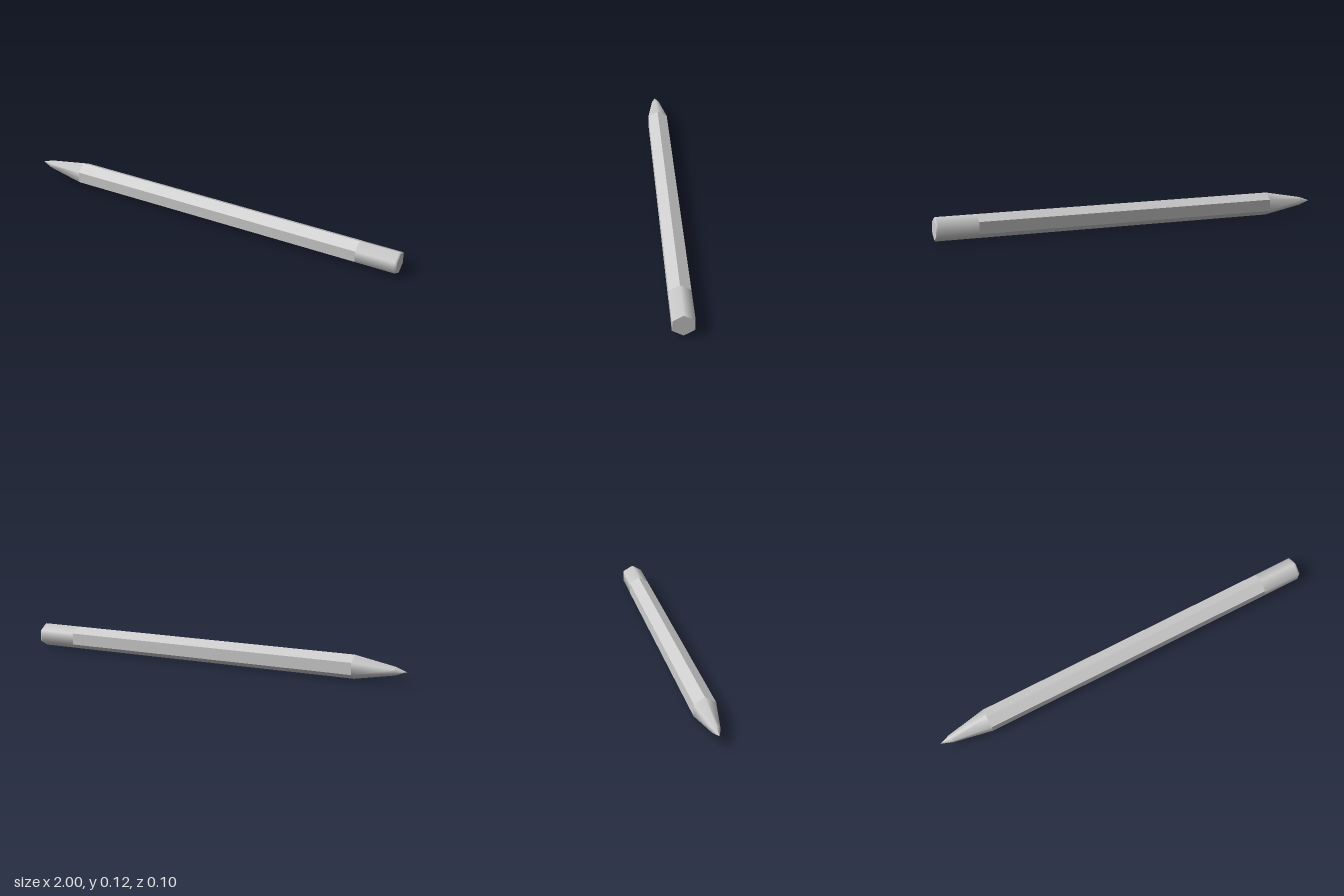
import * as THREE from 'three';

const R = 0.0588; // corner radius of the hexagonal section
const SIDES = 6;

export function createModel() {
  const grey = new THREE.MeshStandardMaterial({ color: 0xcccccc });
  grey.name = 'light grey';

  const pencil = new THREE.Group();
  pencil.name = 'pencil';

  // Parts are made along y, then laid along x with a corner pointing up
  const add = (name, geometry) => {
    geometry.rotateZ(-Math.PI / 2);
    geometry.translate(0, R, 0);
    const mesh = new THREE.Mesh(geometry, grey);
    mesh.name = name;
    pencil.add(mesh);
  };

  // Smooth-shaded six-sided lathe from [radius, position] pairs
  const hexLathe = (profile) => new THREE.LatheGeometry(
    profile.map(([r, p]) => new THREE.Vector2(r, p)), SIDES, Math.PI / 2);

  // Faceted barrel
  const barrel = new THREE.CylinderGeometry(R, R, 1.54, SIDES, 1, true, Math.PI / 2)
    .toNonIndexed();
  barrel.computeVertexNormals();
  barrel.translate(0, 0.025, 0);
  add('barrel', barrel);

  // Sharpened cone and blunter point
  add('sharpenedCone', hexLathe([[0.021, -0.945], [R, -0.745]]));
  add('point', hexLathe([[0, -1], [0.021, -0.945]]));

  // Eraser with a small softened rim
  add('eraser', hexLathe([[R, 0.795], [R, 0.99], [R, 0.995], [R - 0.004, 1]]));

  // Flat end of the eraser
  const end = new THREE.CircleGeometry(R - 0.004, SIDES);
  end.rotateX(-Math.PI / 2);
  end.translate(0, 1, 0);
  add('eraserEnd', end);

  return pencil;
}
